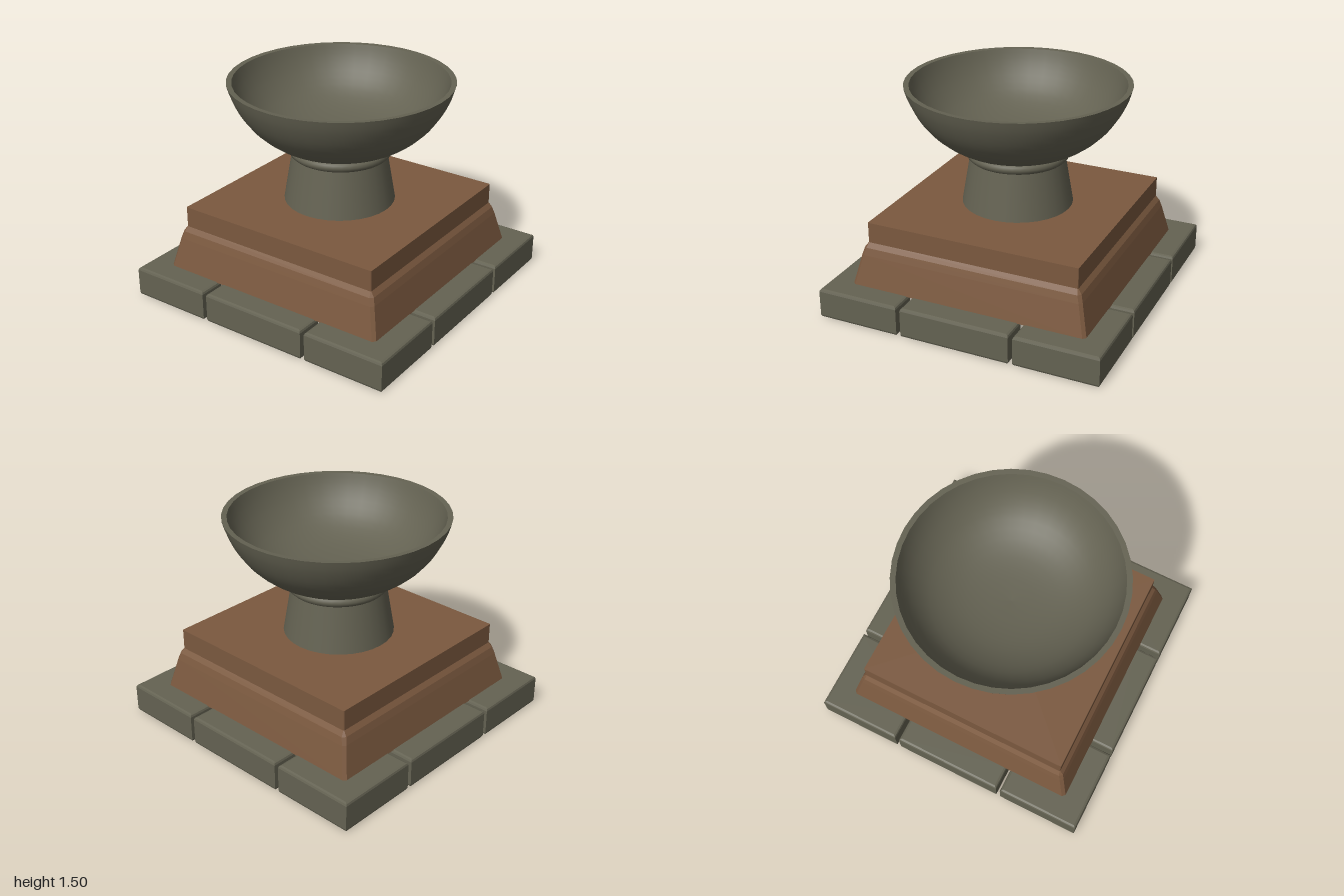
import * as THREE from 'three';

export function createModel() {
  const model = new THREE.Group();
  const stone = new THREE.MeshStandardMaterial({ color: 0x646252 });
  stone.name = 'grey stone';
  const clay = new THREE.MeshStandardMaterial({ color: 0x7b593f, side: THREE.DoubleSide });
  clay.name = 'brown clay';

  const add = (name, geometry, material, parent = model) => {
    const mesh = new THREE.Mesh(geometry, material);
    mesh.name = name;
    parent.add(mesh);
    return mesh;
  };
  const v2 = ([x, y]) => new THREE.Vector2(x, y);

  // Paving stones: bevelled slabs, one middle and one corner per side
  const slab = (points) => {
    const b = 0.018;
    const g = new THREE.ExtrudeGeometry(new THREE.Shape(points.map(v2)), {
      depth: 0.212 - 2 * b, bevelEnabled: true, bevelThickness: b,
      bevelSize: b, bevelOffset: -b, bevelSegments: 2,
    });
    return g.rotateX(-Math.PI / 2).translate(0, b, 0);
  };
  const middle = slab([[-0.387, 0.81], [0.387, 0.81], [0.387, 1], [-0.387, 1]]);
  const corner = slab([[0.417, 0.81], [0.81, 0.417], [1, 0.417], [1, 1], [0.417, 1]]);
  const paving = new THREE.Group();
  paving.name = 'paving';
  model.add(paving);
  for (let i = 0; i < 4; i++) {
    add('middleStone', middle, stone, paving).rotation.y = i * Math.PI / 2;
    add('cornerStone', corner, stone, paving).rotation.y = i * Math.PI / 2;
  }

  // Plinth: hollow square loft with chamfered corners, open underneath
  const levels = [[0.84, 0.208], [0.79, 0.42], [0.775, 0.47], [0.75, 0.502], [0.75, 0.645]];
  const ring = ([h, y], c) => {
    const k = h - c;
    return [[h, -k], [h, k], [k, h], [-k, h], [-h, k], [-h, -k], [-k, -h], [k, -h]]
      .map(([x, z]) => [x, y, z]);
  };
  const rings = levels.map((l, i) => ring(l, i < 3 ? 0.02 : 0.004));
  const pos = [];
  const tri = (...corners) => corners.forEach((p) => pos.push(...p));
  for (let i = 0; i < rings.length; i++) {
    for (let j = 0; j < 8; j++) {
      const n = (j + 1) % 8;
      const a = rings[i][j], b = rings[i][n];
      if (i === rings.length - 1) {
        tri(a, [0, 0.645, 0], b);
      } else {
        const c = rings[i + 1][n], d = rings[i + 1][j];
        tri(a, d, c);
        tri(a, c, b);
      }
    }
  }
  const plinth = new THREE.BufferGeometry();
  plinth.setAttribute('position', new THREE.Float32BufferAttribute(pos, 3));
  plinth.computeVertexNormals();
  add('plinth', plinth, clay);

  // Tapered pedestal, sunk slightly into the plinth
  const pedestal = add('pedestal', new THREE.CylinderGeometry(0.318, 0.386, 0.4, 32), stone);
  pedestal.position.set(-0.008, 0.81, 0.008);

  // Rounded collar under the bowl
  const collar = add('collar', new THREE.TorusGeometry(0.313, 0.037, 12, 40).rotateX(Math.PI / 2), stone);
  collar.position.set(-0.003, 1.005, 0.003);

  // Bowl: outer wall, flat rim and hollow inside as separate smooth surfaces
  const bowl = new THREE.Group();
  bowl.name = 'bowl';
  model.add(bowl);
  const lathe = (name, points) => add(name, new THREE.LatheGeometry(points, 40), stone, bowl);
  const outer = new THREE.SplineCurve([[0.35, 1.043], [0.47, 1.1], [0.585, 1.19],
    [0.67, 1.295], [0.73, 1.41], [0.758, 1.497]].map(v2));
  const inner = new THREE.SplineCurve([[0.722, 1.495], [0.69, 1.41], [0.63, 1.31],
    [0.53, 1.21], [0.38, 1.135], [0.2, 1.1], [0, 1.09]].map(v2));
  lathe('bowlFoot', [[0, 1.043], [0.35, 1.043]].map(v2));
  lathe('bowlOutside', outer.getPoints(14));
  lathe('bowlRim', [[0.758, 1.497], [0.722, 1.495]].map(v2));
  lathe('bowlInside', inner.getPoints(16));

  return model;
}
